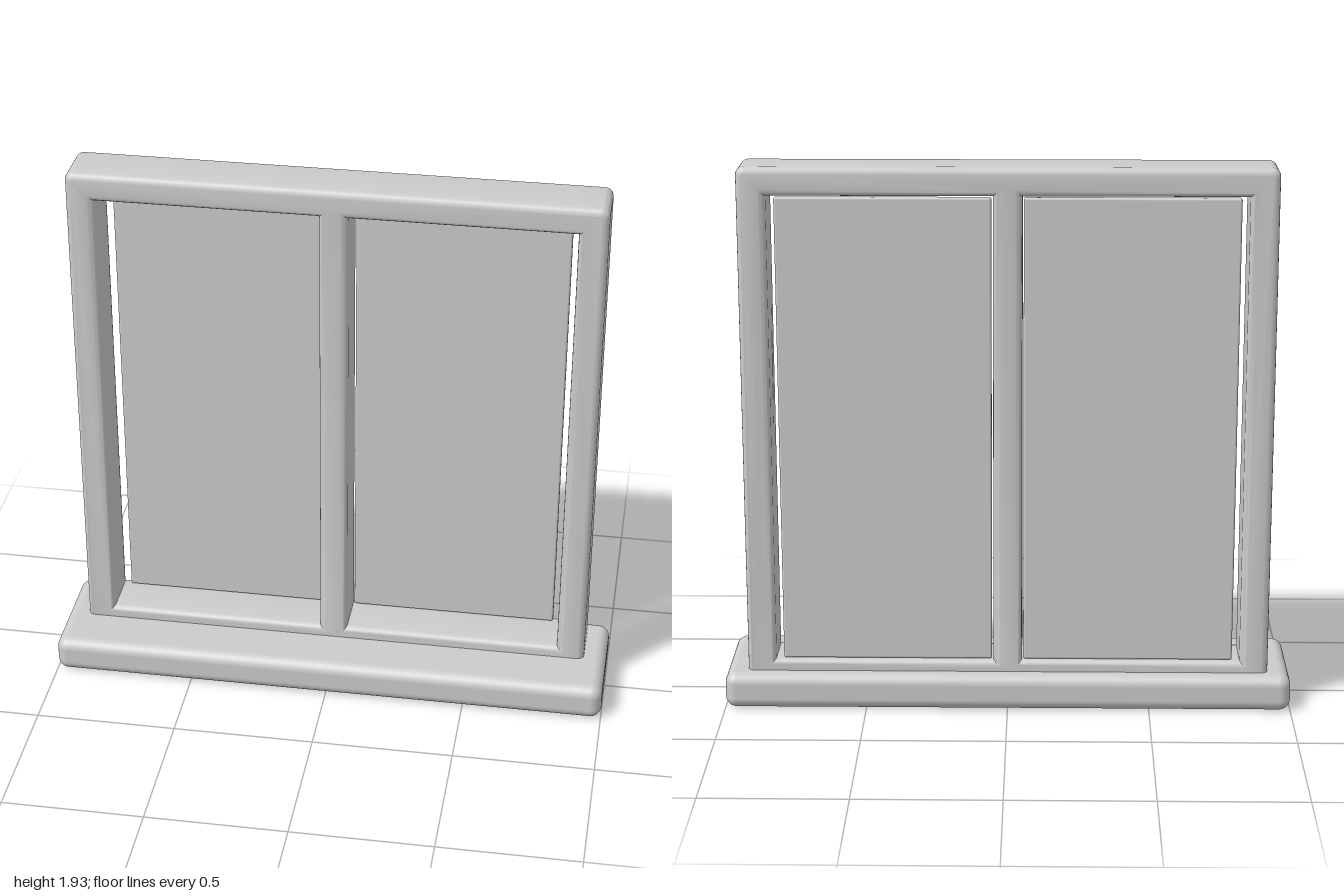
import * as THREE from 'three';
import { toCreasedNormals } from 'three/addons/utils/BufferGeometryUtils.js';
import { RoundedBoxGeometry } from 'three/addons/geometries/RoundedBoxGeometry.js';

// Path around a rectangle
function rectangle(path, x0, y0, x1, y1) {
  path.moveTo(x0, y0);
  path.lineTo(x1, y0);
  path.lineTo(x1, y1);
  path.lineTo(x0, y1);
  path.closePath();
  return path;
}

export function createModel() {
  const model = new THREE.Group();
  model.name = 'window';

  const grey = new THREE.MeshStandardMaterial({ color: 0xcccccc });
  grey.name = 'light grey';

  function addRoundedBox(name, min, max, radius) {
    const [w, h, d] = max.map((v, i) => v - min[i]);
    const mesh = new THREE.Mesh(new RoundedBoxGeometry(w, h, d, 4, radius), grey);
    mesh.position.set(...max.map((v, i) => (v + min[i]) / 2));
    mesh.name = name;
    model.add(mesh);
  }

  // Sill
  addRoundedBox('sill', [-1, 0, -0.22], [1, 0.13, 0.22], 0.04);

  // Frame with two openings, leaving the mullion between them
  const r = 0.03;
  const bevel = 0.024;
  const outline = new THREE.Shape();
  outline.moveTo(-0.92, 0.06);
  outline.lineTo(0.92, 0.06);
  outline.lineTo(0.92, 1.93 - r);
  outline.absarc(0.92 - r, 1.93 - r, r, 0, Math.PI / 2, false);
  outline.lineTo(-0.92 + r, 1.93);
  outline.absarc(-0.92 + r, 1.93 - r, r, Math.PI / 2, Math.PI, false);
  outline.closePath();
  outline.holes.push(
    rectangle(new THREE.Path(), -0.82, 0.17, -0.05, 1.83),
    rectangle(new THREE.Path(), 0.05, 0.17, 0.82, 1.83)
  );
  const frameGeometry = new THREE.ExtrudeGeometry(outline, {
    depth: 0.2 - 2 * bevel,
    bevelSize: bevel,
    bevelThickness: bevel,
    bevelOffset: -bevel,
    bevelSegments: 4,
    curveSegments: 6,
  });
  frameGeometry.translate(0, 0, -0.17 + bevel);
  const frame = new THREE.Mesh(toCreasedNormals(frameGeometry, 0.7), grey);
  frame.name = 'frame';
  model.add(frame);

  // Panes, set near the back with a narrow gap at the outer sides
  addRoundedBox('leftPane', [0.055, 0.172, -0.155], [0.793, 1.826, -0.13], 0.008);
  addRoundedBox('rightPane', [-0.793, 0.172, -0.155], [-0.055, 1.826, -0.13], 0.008);

  return model;
}
